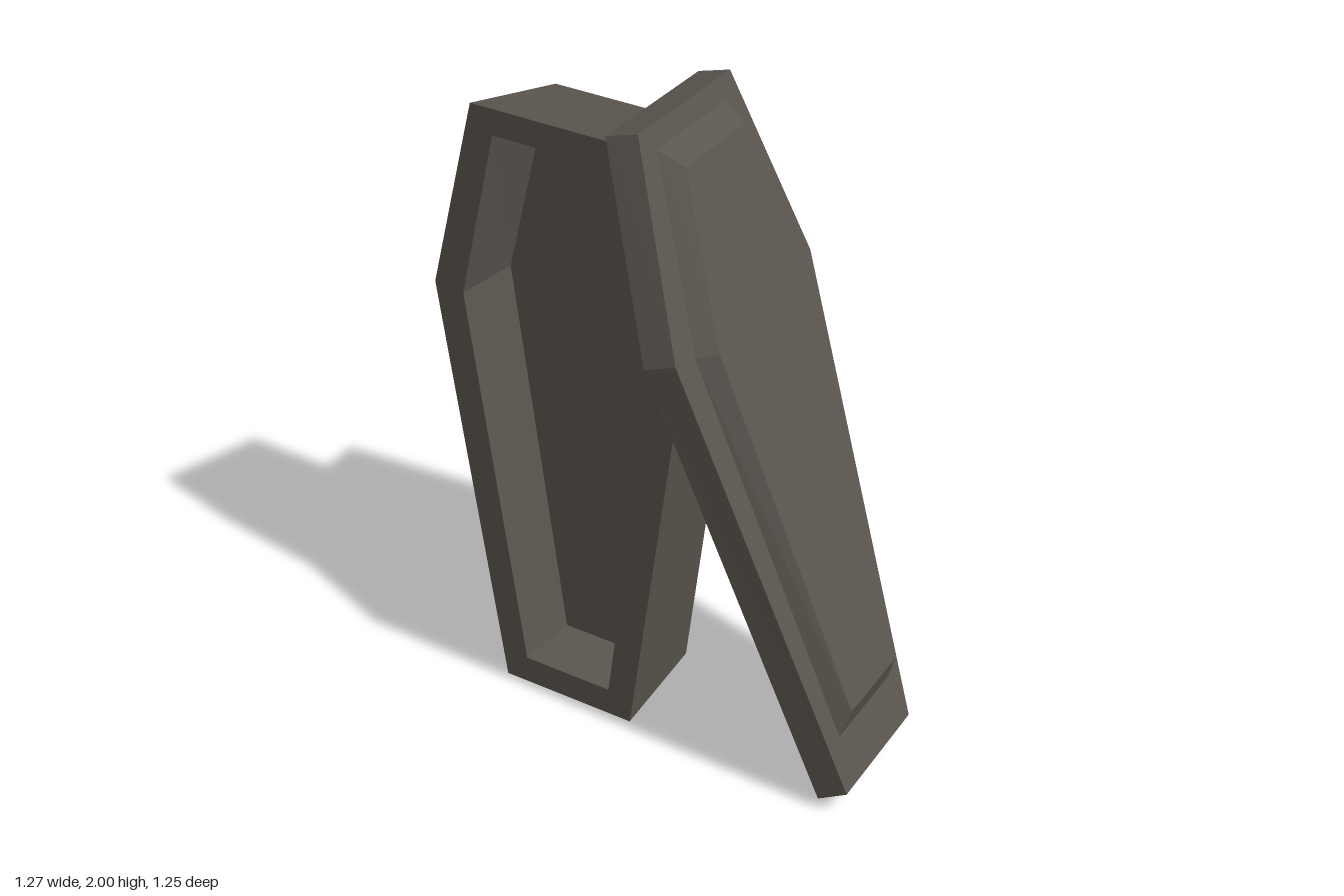
import * as THREE from 'three';

const stone = new THREE.MeshStandardMaterial({ color: 0x5c564f });
stone.name = 'dark stone';

// Six-sided coffin outline at depth z: half widths and heights at head, shoulder and foot.
// Runs counter-clockwise seen from +z.
function outline(z, [headW, headY], [shoulderW, shoulderY], [footW, footY]) {
  return [
    [-footW, footY, z], [footW, footY, z],
    [shoulderW, shoulderY, z], [headW, headY, z],
    [-headW, headY, z], [-shoulderW, shoulderY, z],
  ];
}

// Flat-sided skin through a series of outlines, capped at both ends.
function loft(name, loops) {
  const points = [];
  const n = loops[0].length;
  const tri = (a, b, c) => points.push(...a, ...b, ...c);
  for (let k = 0; k < loops.length - 1; k++) {
    const lo = loops[k], hi = loops[k + 1];
    for (let i = 0; i < n; i++) {
      const j = (i + 1) % n;
      tri(lo[i], lo[j], hi[j]);
      tri(lo[i], hi[j], hi[i]);
    }
  }
  const first = loops[0], last = loops[loops.length - 1];
  for (let i = 1; i < n - 1; i++) {
    tri(first[0], first[i + 1], first[i]);
    tri(last[0], last[i], last[i + 1]);
  }
  const geometry = new THREE.BufferGeometry();
  geometry.setAttribute('position', new THREE.Float32BufferAttribute(points, 3));
  geometry.computeVertexNormals();
  const mesh = new THREE.Mesh(geometry, stone);
  mesh.name = name;
  return mesh;
}

export function createModel() {
  const model = new THREE.Group();
  model.name = 'openCoffin';

  // Upright hollow box: back, outer rim, inner rim, recessed floor
  const box = loft('coffinBox', [
    outline(-0.368, [0.24, 1.86], [0.375, 1.32], [0.198, 0.01]),
    outline(0, [0.269, 1.94], [0.424, 1.34], [0.226, 0]),
    outline(0, [0.198, 1.86], [0.325, 1.33], [0.15, 0.09]),
    outline(-0.205, [0.177, 1.83], [0.304, 1.33], [0.141, 0.09]),
  ]);
  box.position.set(-0.34, 0, -0.1);
  box.rotation.y = -Math.PI / 4;
  model.add(box);

  // Lid leaning against the box
  const lid = new THREE.Group();
  lid.name = 'lid';
  lid.add(loft('lidSlab', [
    outline(-0.1, [0.265, 2.05], [0.415, 1.44], [0.224, -0.015]),
    outline(0, [0.265, 2.04], [0.415, 1.44], [0.224, 0]),
  ]));

  // Raised panel with sloping edges
  lid.add(loft('lidPanel', [
    outline(-0.01, [0.2, 1.974], [0.314, 1.42], [0.173, 0.163]),
    outline(0, [0.2, 1.974], [0.314, 1.42], [0.173, 0.163]),
    outline(0.054, [0.172, 1.907], [0.276, 1.411], [0.156, 0.236]),
  ]));

  // Lean: across, up along the lid, and outward directions
  const up = new THREE.Vector3(-0.227, 0.939, -0.26).normalize();
  const out = new THREE.Vector3(0.652, -0.047, -0.756).cross(up).normalize();
  const across = new THREE.Vector3().crossVectors(up, out);
  lid.quaternion.setFromRotationMatrix(new THREE.Matrix4().makeBasis(across, up, out));
  lid.position.set(0.485, 0.0725, 0.46);
  model.add(lid);

  return model;
}
